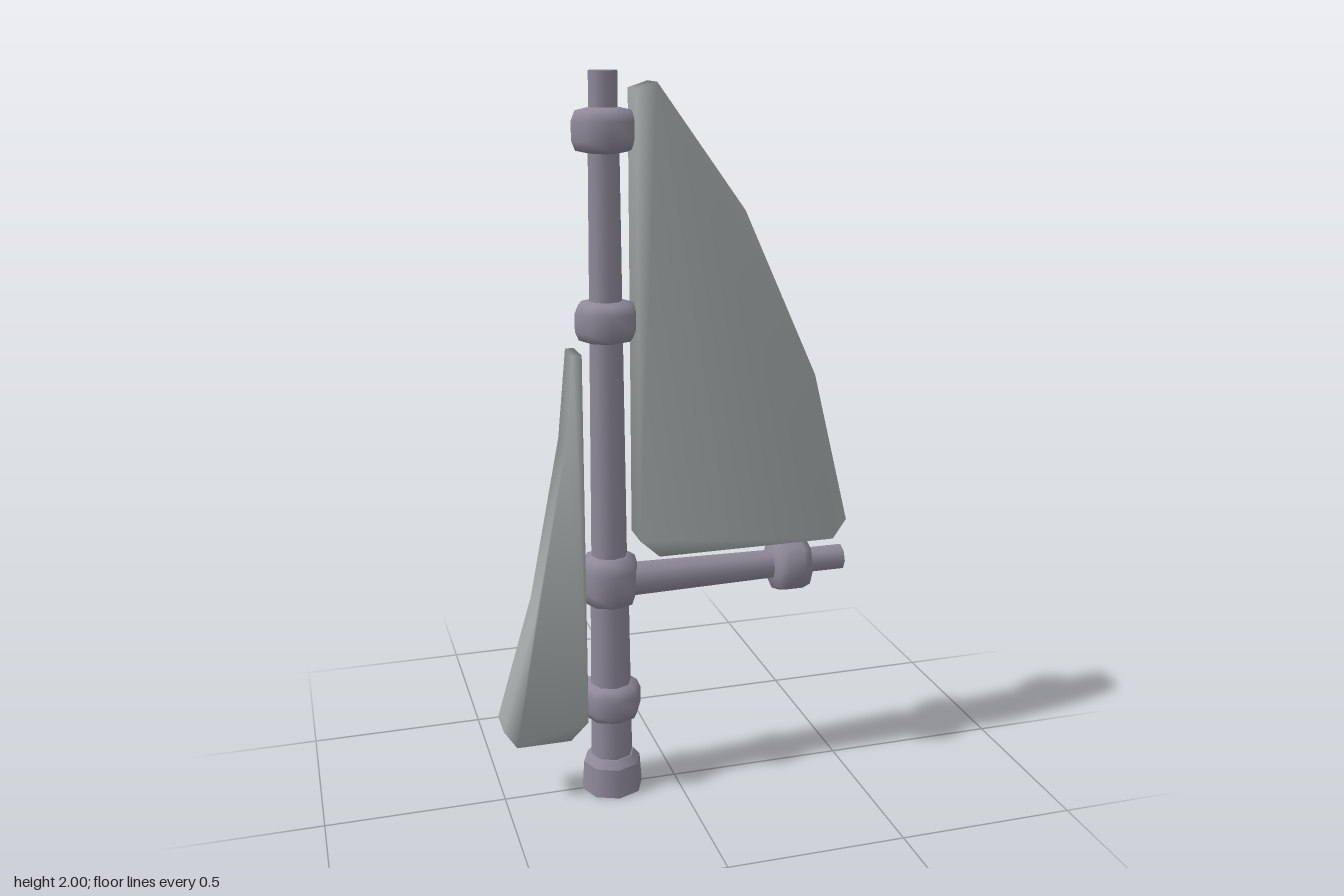
import * as THREE from 'three';
import { mergeVertices } from 'three/addons/utils/BufferGeometryUtils.js';

const SIDES = 8;
const MAST_X = -0.187;

export function createModel() {
  const model = new THREE.Group();
  model.name = 'sailMast';
  const wood = new THREE.MeshStandardMaterial({ name: 'mauve grey spar', color: 0x8f8999 });
  const cloth = new THREE.MeshStandardMaterial({ name: 'pale grey sail', color: 0xa6acac });

  const add = (parent, name, geometry, material) => {
    const mesh = new THREE.Mesh(geometry, material);
    mesh.name = name;
    parent.add(mesh);
    return mesh;
  };

  // Tapered pole section running from y0 to y1
  const pole = (parent, name, y0, y1, r0, r1) => {
    const mesh = add(parent, name, new THREE.CylinderGeometry(r1, r0, y1 - y0, SIDES), wood);
    mesh.position.y = (y0 + y1) / 2;
  };

  // Rounded collar around a pole
  const collar = (parent, name, y, half, r, inner) => {
    const profile = [[inner, -half], [r * 0.88, -half * 0.85], [r, -half * 0.42],
      [r, half * 0.42], [r * 0.88, half * 0.85], [inner, half]];
    const points = profile.map(([px, py]) => new THREE.Vector2(px, py));
    add(parent, name, new THREE.LatheGeometry(points, SIDES), wood).position.y = y;
  };

  // Mast with foot and collars
  const mast = new THREE.Group();
  mast.name = 'mast';
  mast.position.x = MAST_X;
  model.add(mast);
  pole(mast, 'mastFoot', 0, 0.085, 0.088, 0.082);
  pole(mast, 'mastFootShoulder', 0.085, 0.107, 0.082, 0.064);
  pole(mast, 'lowerMast', 0.1, 0.64, 0.06, 0.054);
  pole(mast, 'upperMast', 0.64, 1.86, 0.051, 0.041);
  pole(mast, 'mastTip', 1.86, 2, 0.038, 0.038);
  collar(mast, 'lowerCollar', 0.275, 0.055, 0.086, 0.05);
  collar(mast, 'boomCollar', 0.638, 0.075, 0.082, 0.045);
  collar(mast, 'middleCollar', 1.363, 0.056, 0.084, 0.04);
  collar(mast, 'topCollar', 1.853, 0.058, 0.084, 0.035);

  // Boom, built upright and turned toward +x
  const boom = new THREE.Group();
  boom.name = 'boom';
  boom.position.set(MAST_X, 0.63, 0);
  boom.rotation.z = -Math.PI / 2;
  model.add(boom);
  pole(boom, 'boomSpar', 0, 0.53, 0.051, 0.042);
  pole(boom, 'boomTip', 0.53, 0.687, 0.038, 0.038);
  collar(boom, 'boomEndCollar', 0.527, 0.057, 0.084, 0.035);

  // Thick sails with softly shaded edges
  const sail = (name, outline) => {
    const shape = new THREE.Shape(outline.map(([x, y]) => new THREE.Vector2(x, y)));
    let geometry = new THREE.ExtrudeGeometry(shape, { depth: 0.095, bevelEnabled: false });
    geometry.translate(0, 0, -0.049);
    geometry.deleteAttribute('normal');
    geometry.deleteAttribute('uv');
    geometry = mergeVertices(geometry);
    geometry.computeVertexNormals();
    add(model, name, geometry, cloth);
  };
  sail('mainSail', [[-0.11, 0.755], [-0.055, 0.705], [0.457, 0.705], [0.495, 0.76],
    [0.388, 1.19], [0.18, 1.645], [-0.058, 1.972], [-0.11, 1.955]]);
  sail('foreSail', [[-0.504, 0.235], [-0.468, 0.18], [-0.315, 0.18], [-0.264, 0.23],
    [-0.264, 1.285], [-0.288, 1.285], [-0.312, 1.04], [-0.4, 0.59]]);

  return model;
}
